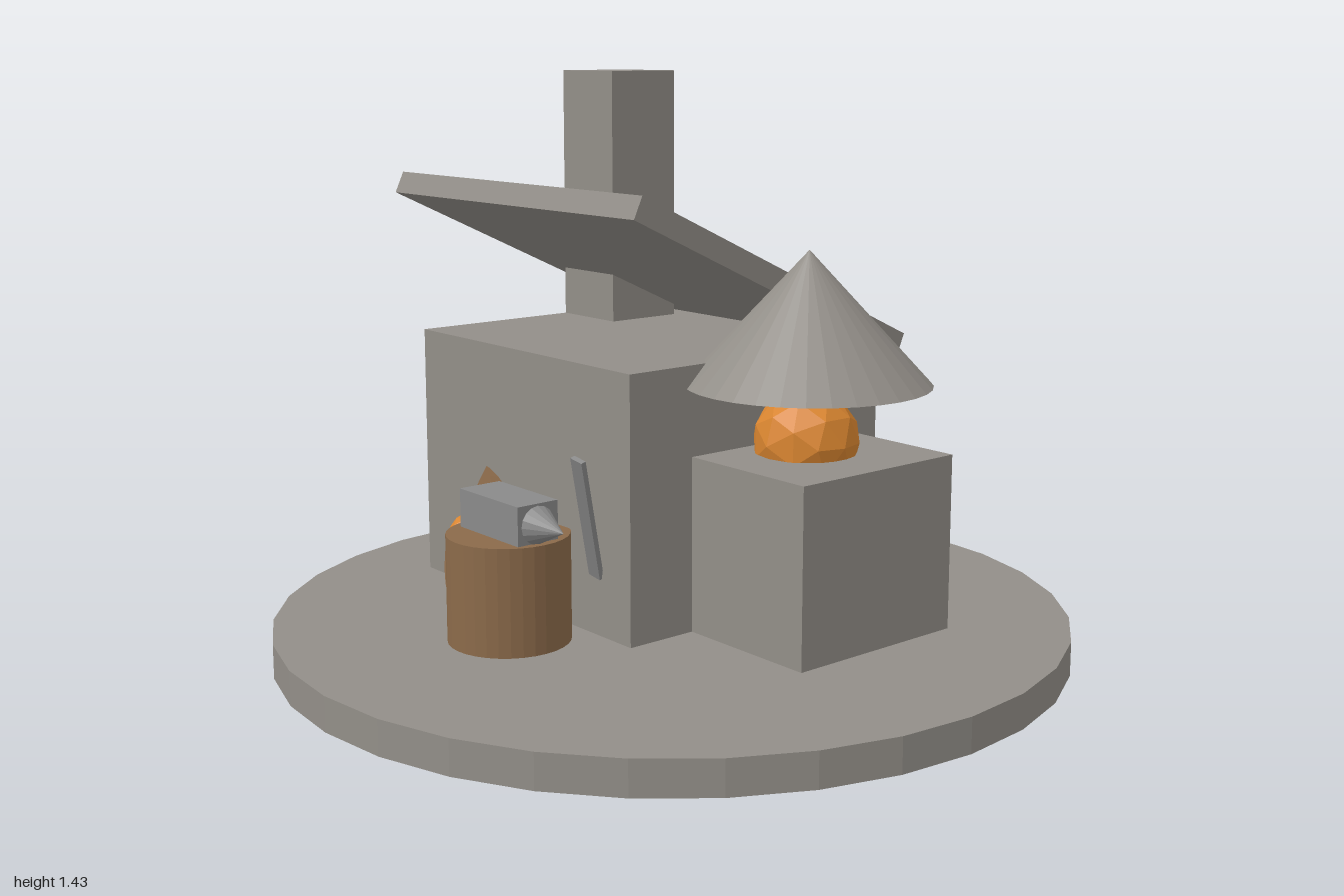
import * as THREE from 'three';

export function createModel() {
  const root = new THREE.Group();
  root.name = 'smithy';

  const material = (name, color) => {
    const m = new THREE.MeshStandardMaterial({ color, flatShading: true });
    m.name = name;
    return m;
  };
  const stone = material('stone', 0x928e88);
  const steel = material('steel', 0x8a8a8a);
  const wood = material('wood', 0x8b6a4a);
  const ember = material('ember', 0xd98530);

  const add = (name, geometry, mat, x, y, z) => {
    const mesh = new THREE.Mesh(geometry, mat);
    mesh.name = name;
    mesh.position.set(x, y, z);
    root.add(mesh);
    return mesh;
  };
  const box = (w, h, d) => new THREE.BoxGeometry(w, h, d);

  // Round ground slab
  add('base', new THREE.CylinderGeometry(1, 1, 0.085, 32), stone, 0, 0.0425, 0);

  // House, chimney and single pitched roof slab
  add('house', box(0.865, 0.65, 0.81), stone, -0.19, 0.435, -0.077);
  add('chimney', box(0.215, 0.73, 0.215), stone, -0.515, 1.065, -0.243);
  const roof = add('roof', box(0.995, 0.058, 0.942), stone, -0.193, 0.947, -0.076);
  roof.rotation.x = -0.433;

  // Forge with glowing coals under a conical hood
  add('forge', box(0.49, 0.43, 0.49), stone, 0.375, 0.325, -0.105);
  add('coals', new THREE.IcosahedronGeometry(0.13, 1), ember, 0.375, 0.57, -0.105);
  add('hood', new THREE.ConeGeometry(0.297, 0.32, 32), stone, 0.375, 0.865, -0.108);

  // Anvil on its stump
  add('stump', new THREE.CylinderGeometry(0.15, 0.15, 0.265, 32), wood, -0.06, 0.2175, 0.46);
  add('anvilBody', box(0.24, 0.095, 0.115), steel, -0.055, 0.3975, 0.462);
  const horn = add('anvilHorn', new THREE.ConeGeometry(0.047, 0.1, 16), steel, 0.115, 0.393, 0.462);
  horn.rotation.z = -Math.PI / 2;

  // Blade leaning against the wall
  const blade = add('blade', box(0.04, 0.33, 0.013), steel, 0.145, 0.41, 0.378);
  blade.rotation.set(0.31, 0, -0.19);

  // Round shield leaning into the wall, with a central boss
  const normal = new THREE.Vector3(-0.363, 0.28, 1).normalize();
  const face = new THREE.Vector3(-0.385, 0.265, 0.362);
  const shield = add('shield', new THREE.CylinderGeometry(0.185, 0.185, 0.035, 32), wood, 0, 0, 0);
  shield.quaternion.setFromUnitVectors(new THREE.Vector3(0, 1, 0), normal);
  shield.position.copy(face).addScaledVector(normal, -0.0175);
  add('shieldBoss', new THREE.IcosahedronGeometry(0.047, 1), ember, face.x, face.y, face.z);

  return root;
}
